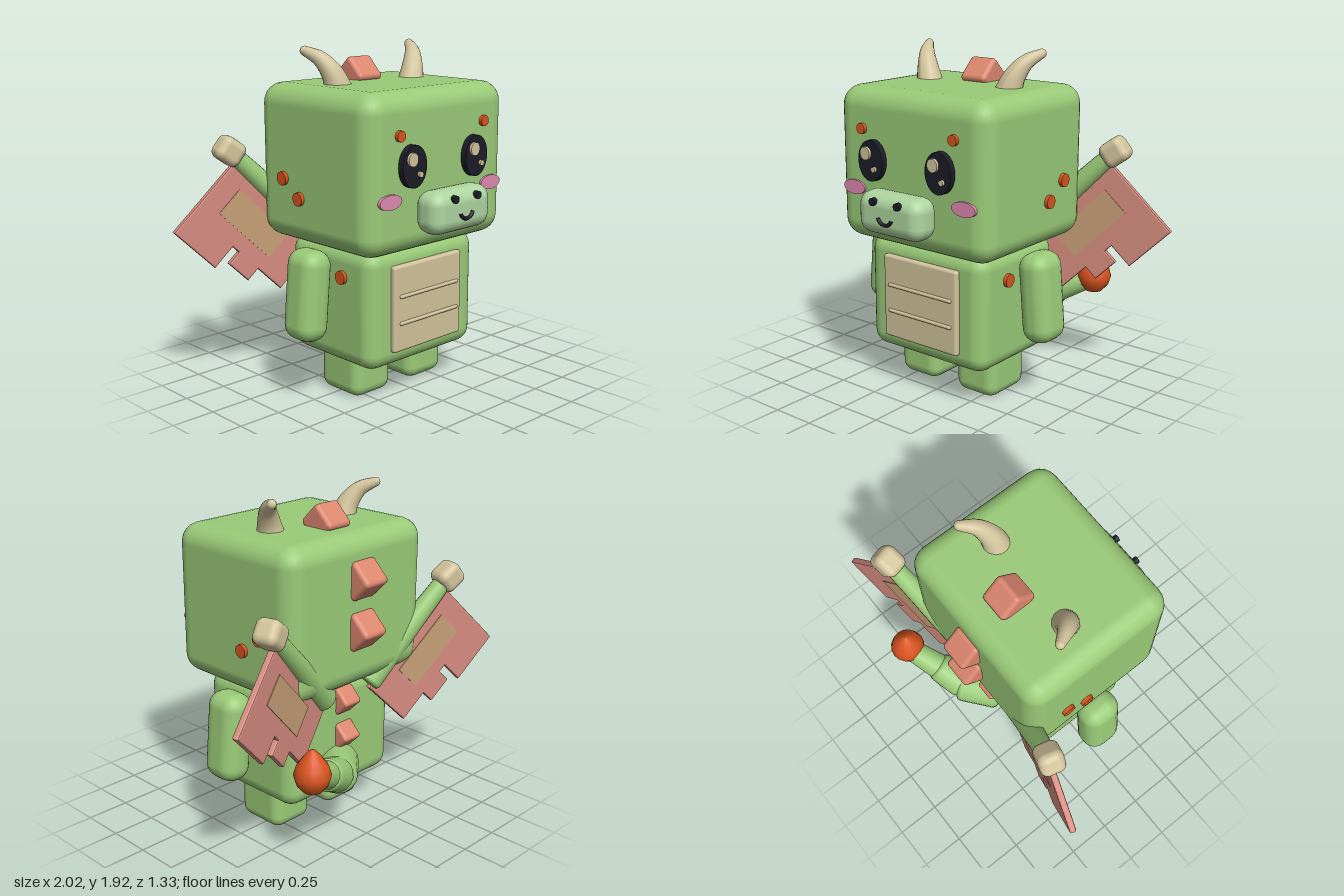
import * as THREE from 'three';
import { RoundedBoxGeometry } from 'three/addons/geometries/RoundedBoxGeometry.js';

const mat = (name, color) => Object.assign(new THREE.MeshStandardMaterial({ color }), { name });

export function createModel() {
  const green = mat('skin green', 0x9acb78);
  const pale = mat('snout green', 0xaed6a0);
  const cream = mat('horn cream', 0xd2c49c);
  const salmon = mat('spike salmon', 0xdd8770);
  const membrane = mat('membrane rose', 0xd68c80);
  const tan = mat('membrane tan', 0xc69f76);
  const orange = mat('spot orange', 0xd9541e);
  const black = mat('eye black', 0x1c1c28);
  const pink = mat('cheek pink', 0xe08ab0);

  const model = new THREE.Group();
  model.name = 'dragon';

  const add = (name, geo, material, pos = [0, 0, 0], rot = [0, 0, 0], parent = model) => {
    const mesh = new THREE.Mesh(geo, material);
    mesh.name = name;
    mesh.position.set(...pos);
    mesh.rotation.set(...rot);
    parent.add(mesh);
    return mesh;
  };
  const box = (w, h, d, r, seg = 3) => new RoundedBoxGeometry(w, h, d, seg, r);

  // Disc facing +z, stretched to an ellipse
  const disc = (rx, ry, depth) =>
    new THREE.CylinderGeometry(1, 1, depth, 28).rotateX(Math.PI / 2).scale(rx, ry, 1);

  // Cylinder with rounded rims, standing on y = 0
  const roundedCylinder = (r0, r1, h, b) => new THREE.LatheGeometry([
    [0, 0], [r0 - b, 0], [r0 - b * 0.3, b * 0.3], [r0, b],
    [r1, h - b], [r1 - b * 0.3, h - b * 0.3], [r1 - b, h], [0, h],
  ].map(p => new THREE.Vector2(...p)), 16);

  // Tube whose radius shrinks along the curve, closed by a round tip
  const taperedTube = (points, r0, r1) => {
    const curve = new THREE.CatmullRomCurve3(points.map(p => new THREE.Vector3(...p)));
    const rings = 12, sides = 14;
    const geo = new THREE.TubeGeometry(curve, rings, 1, sides);
    const pos = geo.attributes.position, v = new THREE.Vector3();
    for (let i = 0; i < pos.count; i++) {
      const t = Math.floor(i / (sides + 1)) / rings;
      const c = curve.getPointAt(t);
      v.fromBufferAttribute(pos, i).sub(c).multiplyScalar(THREE.MathUtils.lerp(r0, r1, t)).add(c);
      pos.setXYZ(i, v.x, v.y, v.z);
    }
    geo.computeVertexNormals();
    return geo;
  };

  // Head, body and belly plate
  add('head', box(1.04, 0.85, 0.9, 0.11), green, [0, 1.295, 0.02]);
  add('body', box(0.82, 0.665, 0.67, 0.09), green, [0, 0.547, 0.025]);
  add('bellyPlate', box(0.52, 0.48, 0.05, 0.015, 2), cream, [-0.003, 0.55, 0.365]);
  for (const y of [0.47, 0.62]) {
    add('bellyRidge', new THREE.CapsuleGeometry(0.011, 0.43, 4, 8), cream, [0, y, 0.392], [0, 0, Math.PI / 2]);
  }

  // Snout with nostrils and smile
  add('snout', box(0.44, 0.23, 0.18, 0.075), pale, [0, 1.097, 0.555]);
  const smile = new THREE.TorusGeometry(0.05, 0.01, 8, 16, Math.PI * 0.8);
  add('smile', smile, black, [0, 1.108, 0.65], [0, 0, Math.PI * 1.1]);

  // Mirrored head and body parts
  for (const s of [-1, 1]) {
    add('nostril', disc(0.021, 0.021, 0.025), black, [s * 0.085, 1.17, 0.644]);
    add('eye', disc(0.087, 0.112, 0.04), black, [s * 0.235, 1.34, 0.485]);
    add('eyeGlint', disc(0.034, 0.036, 0.02), cream, [s * 0.235 - 0.025, 1.38, 0.51]);
    add('eyeGlintSmall', disc(0.015, 0.015, 0.02), cream, [s * 0.235 + 0.032, 1.298, 0.51]);
    add('cheek', disc(0.078, 0.04, 0.018), pink, [s * 0.382, 1.172, 0.473]);
    add('browSpot', disc(0.029, 0.029, 0.04), orange, [s * 0.317, 1.51 + s * 0.008, 0.47]);

    for (const [x, y, z] of [[0.52, 1.22, -0.2], [0.52, 1.125, -0.07], [0.41, 0.715, 0.14], [0.41, 0.565, -0.1]]) {
      add('sideSpot', disc(0.037, 0.037, 0.04), orange, [s * x, y, z], [0, Math.PI / 2, 0]);
    }

    add('horn', taperedTube([
      [s * 0.27, 1.68, -0.03], [s * 0.3, 1.77, -0.045], [s * 0.345, 1.85, -0.09], [s * 0.392, 1.893, -0.165],
    ], 0.078, 0.026), cream);
    add('hornTip', new THREE.SphereGeometry(0.026, 12, 8), cream, [s * 0.392, 1.893, -0.165]);

    add('arm', box(0.19, 0.5, 0.235, 0.085), green, [s * 0.553, 0.622, 0.02], [0, 0, s * 0.09]);
    add('leg', box(0.276, 0.3, 0.315, 0.065), green, [s * 0.207, 0.15, 0.022]);
  }

  // Spikes along the crest and back: cubes standing on edge
  for (const [size, y, z] of [[0.17, 1.738, -0.168], [0.17, 1.48, -0.436], [0.17, 1.2, -0.436],
    [0.125, 0.765, -0.31], [0.125, 0.555, -0.31]]) {
    add('backSpike', box(size, size * 0.95, size * 0.95, size * 0.14, 2), salmon, [0, y, z], [Math.PI / 4, 0, 0]);
  }

  // Wings: local x runs up the strut, local -y spreads the membrane
  const outline = [[-0.05, -0.04], [0.645, -0.04], [0.645, -0.52], [0.345, -0.52], [0.345, -0.37],
    [0.28, -0.37], [0.28, -0.455], [0.14, -0.455], [0.14, -0.37], [-0.05, -0.37]];
  const sail = new THREE.ExtrudeGeometry(new THREE.Shape(outline.map(p => new THREE.Vector2(...p))), {
    depth: 0.02, bevelEnabled: true, bevelThickness: 0.009, bevelSize: 0.009, bevelSegments: 2,
  }).translate(0, 0, -0.01);
  for (const s of [-1, 1]) {
    const side = new THREE.Group();
    side.name = s > 0 ? 'leftWing' : 'rightWing';
    side.scale.x = s;
    model.add(side);
    const wing = new THREE.Group();
    wing.name = 'wingFrame';
    wing.position.set(0.2, 0.85, -0.33);
    wing.rotation.set(0, 0.262, Math.PI / 4, 'YXZ');
    side.add(wing);
    add('wingStrut', roundedCylinder(0.078, 0.05, 0.74, 0.02), green, [-0.04, 0, 0], [0, 0, -Math.PI / 2], wing);
    add('wingClaw', box(0.15, 0.14, 0.14, 0.042), cream, [0.715, 0, 0], [0, 0, -0.15], wing);
    add('wingMembrane', sail, membrane, [0, 0, 0], [0, 0, 0], wing);
    add('wingPanel', new THREE.BoxGeometry(0.4, 0.17, 0.046), tan, [0.33, -0.205, 0], [0, 0, 0], wing);
  }

  // Tail: three shrinking segments that curl to the left, with a flame at the end
  const path = [[0, 0.38, -0.27], [0.16, 0.4, -0.42], [0.3, 0.47, -0.48], [0.47, 0.555, -0.56]]
    .map(p => new THREE.Vector3(...p));
  [[0.12, 0.11], [0.1, 0.09], [0.078, 0.065]].forEach(([r0, r1], i) => {
    const dir = path[i + 1].clone().sub(path[i]);
    const seg = add('tailSegment', roundedCylinder(r0, r1, dir.length() + 0.04, 0.03), green, path[i].toArray());
    seg.quaternion.setFromUnitVectors(new THREE.Vector3(0, 1, 0), dir.normalize());
  });
  const flame = [[0, -0.11], [0.05, -0.1], [0.085, -0.06], [0.1, -0.01], [0.085, 0.04], [0.05, 0.09], [0.02, 0.125], [0, 0.135]];
  add('tailFlame', new THREE.LatheGeometry(flame.map(p => new THREE.Vector2(...p)), 16), orange, [0.51, 0.59, -0.57]);

  return model;
}
